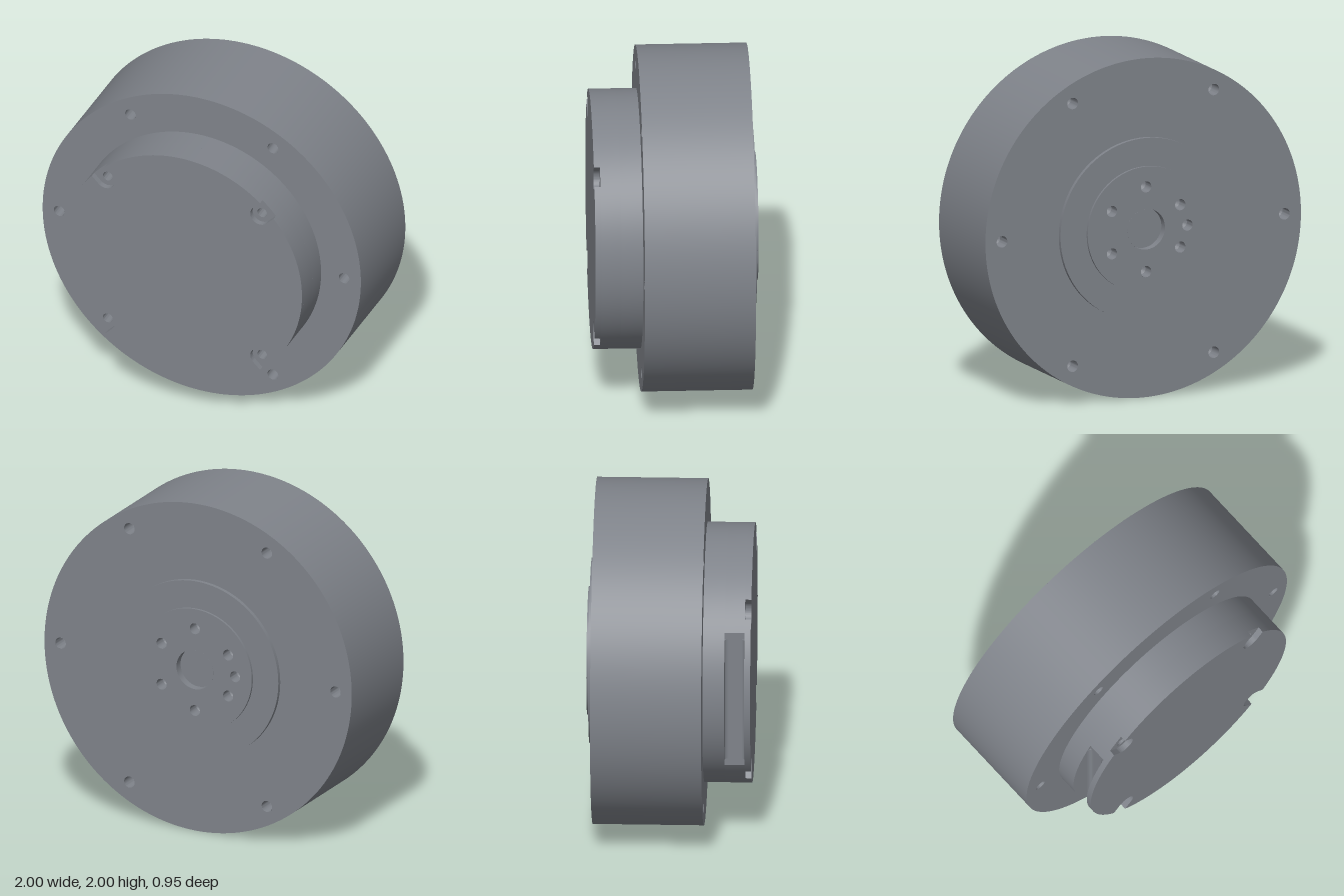
import * as THREE from 'three';
import { toCreasedNormals } from 'three/addons/utils/BufferGeometryUtils.js';

const SEG = 128;
const metal = new THREE.MeshStandardMaterial({ color: 0x7f838a, side: THREE.DoubleSide });
metal.name = 'grey metal';

function add(parent, name, geometry, z = 0) {
  const mesh = new THREE.Mesh(geometry, metal);
  mesh.name = name;
  mesh.position.z = z;
  parent.add(mesh);
  return mesh;
}

function circle(r, holes = []) {
  const shape = new THREE.Shape().absarc(0, 0, r, 0, Math.PI * 2);
  return punch(shape, holes);
}

function punch(shape, holes) {
  for (const [x, y, r] of holes) shape.holes.push(new THREE.Path().absarc(x, y, r, 0, Math.PI * 2, true));
  return shape;
}

// Flat face looking along +z
const face = (shape) => new THREE.ShapeGeometry(shape, SEG);

// Open round wall from z0 to z1
function wall(r, z0, z1) {
  return new THREE.CylinderGeometry(r, r, z1 - z0, SEG, 1, true)
    .rotateX(Math.PI / 2).translate(0, 0, (z0 + z1) / 2);
}

// Blind hole sunk below z = 0, with an optional drill-point bottom
function cup([x, y, r], depth, point) {
  const profile = [[r, 0], [r, -depth], [0, -depth - point]].map((p) => new THREE.Vector2(...p));
  const g = new THREE.LatheGeometry(profile, 32).rotateX(Math.PI / 2).translate(x, y, 0);
  return toCreasedNormals(g, 0.5);
}

function slab(shape, depth, segments) {
  const g = new THREE.ExtrudeGeometry(shape, { depth, bevelEnabled: false, curveSegments: segments });
  return toCreasedNormals(g, 0.5);
}

// Holes evenly spaced on a bolt circle
function boltCircle(count, radius, r, start = 0) {
  return Array.from({ length: count }, (_, i) => {
    const a = start + (i * Math.PI * 2) / count;
    return [Math.cos(a) * radius, Math.sin(a) * radius, r];
  });
}

// Lid outline with four U-shaped screw pockets open to the rim
function lidShape(R, pocketR, pocketAt) {
  const shape = new THREE.Shape();
  const d = Math.asin(pocketR / R);
  for (let i = 0; i < 4; i++) {
    const a = Math.PI / 4 + (i * Math.PI) / 2;
    shape.absarc(Math.cos(a) * pocketAt, Math.sin(a) * pocketAt, pocketR, a - Math.PI / 2, a - Math.PI * 1.5, true);
    shape.absarc(0, 0, R, a + d, a + Math.PI / 2 - d, false);
  }
  shape.closePath();
  return shape;
}

export function createModel() {
  const model = new THREE.Group();
  model.name = 'roundActuator';
  const unit = new THREE.Group();
  unit.name = 'housing';
  unit.position.y = 1;
  model.add(unit);

  // Main drum with blind mounting holes on both faces
  const mounts = boltCircle(6, 0.895, 0.034);
  add(unit, 'drumWall', wall(1, -0.44, 0.2));
  add(unit, 'drumFrontFace', face(circle(1, mounts)), 0.2);
  mounts.forEach((h) => add(unit, 'frontMountHole', cup(h, 0.1, 0.02), 0.2));

  // Front cover: base, side-notched layer and lid
  const R = 0.75, cutX = 0.62, notch0 = 0.325, notch1 = 0.44;
  const screws = boltCircle(4, 0.686, 0.03, Math.PI / 4);
  add(unit, 'coverBase', slab(circle(R), notch0 - 0.2, SEG), 0.2);
  const half = Math.PI - Math.acos(cutX / R);
  const cut = new THREE.Shape().absarc(0, 0, R, -half, half, false);
  cut.closePath();
  add(unit, 'coverNotchedLayer', slab(punch(cut, screws), notch1 - notch0, 96), notch0);
  add(unit, 'coverLid', slab(lidShape(R, 0.06, 0.686), 0.475 - notch1, 32), notch1);

  // Rounded inner corners of the side notch
  for (const [z, s] of [[notch0, 1], [notch1, -1]]) {
    const f = 0.025;
    const fillet = new THREE.Shape();
    fillet.moveTo(-cutX, z);
    fillet.lineTo(-cutX, z + s * f);
    fillet.quadraticCurveTo(-cutX, z, -cutX - f, z);
    fillet.closePath();
    const g = slab(fillet, 0.76, 8).translate(0, 0, -0.38).rotateX(Math.PI / 2);
    add(unit, 'notchFillet', g);
  }

  // Rear side, built facing +z and turned round
  const rear = new THREE.Group();
  rear.name = 'rearSide';
  rear.rotation.y = Math.PI;
  unit.add(rear);
  add(rear, 'drumRearFace', face(circle(1, [...mounts, [0, 0, 0.535]])), 0.44);
  mounts.forEach((h) => add(rear, 'rearMountHole', cup(h, 0.1, 0.02), 0.44));

  // Stepped output flange with bolt holes, dowel hole and centre bore
  const bolts = [...boltCircle(6, 0.25, 0.033, Math.PI / 6), [0.262, 0, 0.033]];
  const bore = [0, 0, 0.12];
  add(rear, 'flangeWall', wall(0.535, 0.44, 0.465));
  add(rear, 'flangeFace', face(circle(0.535, [[0, 0, 0.37]])), 0.465);
  add(rear, 'hubWall', wall(0.37, 0.465, 0.48));
  add(rear, 'hubFace', face(circle(0.37, [...bolts, bore])), 0.48);
  bolts.forEach((h) => add(rear, 'hubBoltHole', cup(h, 0.08, 0.02), 0.48));
  add(rear, 'centreBore', cup(bore, 0.05, 0), 0.48);

  return model;
}
